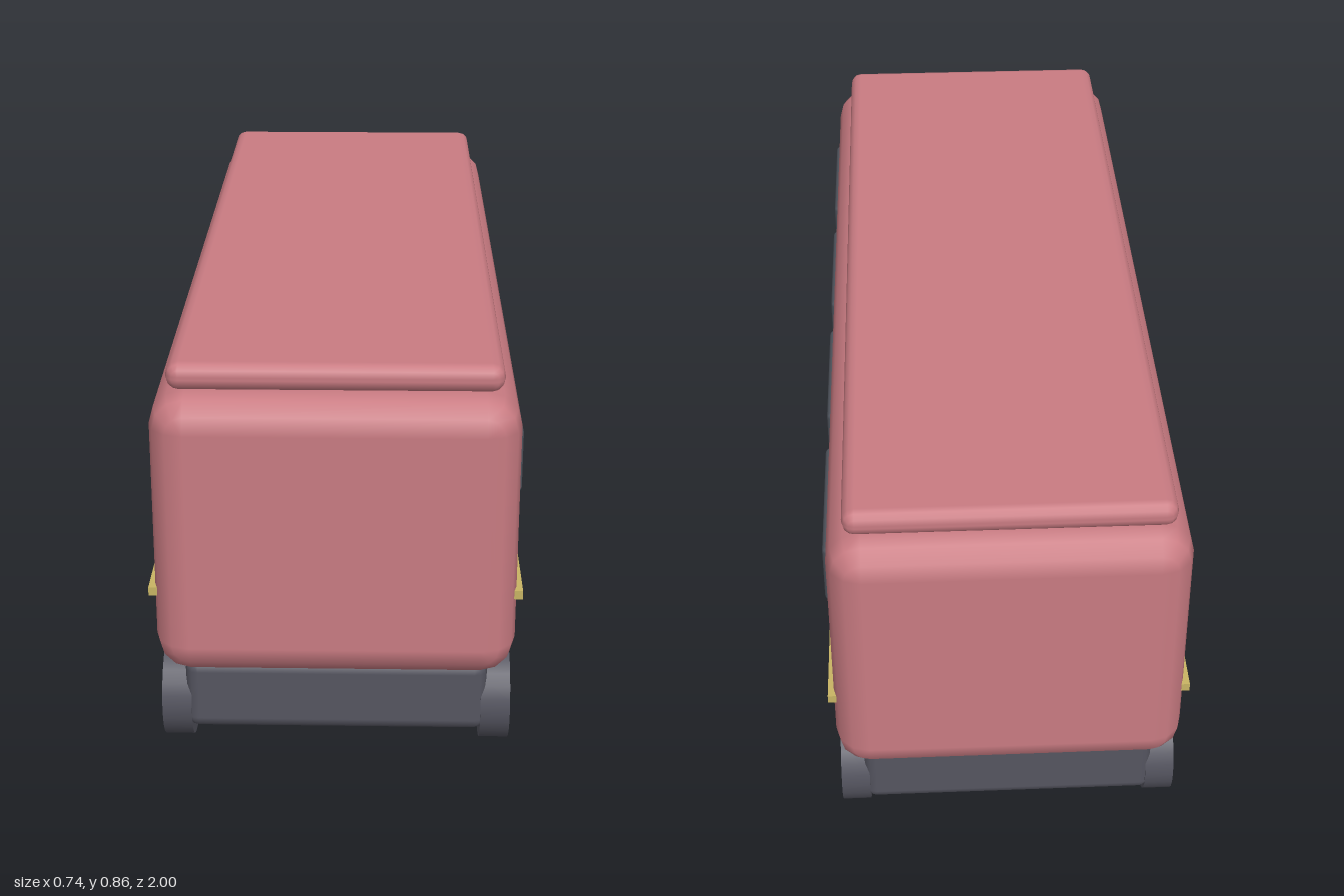
import * as THREE from 'three';

const mat = (name, color) => {
  const m = new THREE.MeshStandardMaterial({ color });
  m.name = name;
  return m;
};

// Box with edges rounded in three steps, built from rounded-rectangle rings along z
function roundedBox(w, h, d, r, steps = 3) {
  const pos = [], nor = [], idx = [];
  const ix = w / 2 - r, iy = h / 2 - r, iz = d / 2 - r;
  const n = 4 * (steps + 1);
  const rings = 2 * (steps + 1);
  for (let j = 0; j < rings; j++) {
    const front = j > steps;
    const lat = -Math.PI / 2 + (front ? j - 1 : j) * (Math.PI / 2 / steps);
    const c = Math.cos(lat), s = Math.sin(lat);
    for (let k = 0; k < 4; k++) {
      const sx = k === 0 || k === 3 ? 1 : -1, sy = k < 2 ? 1 : -1;
      for (let i = 0; i <= steps; i++) {
        const a = (k + i / steps) * Math.PI / 2;
        const nx = c * Math.cos(a), ny = c * Math.sin(a);
        pos.push(sx * ix + r * nx, sy * iy + r * ny, (front ? iz : -iz) + r * s);
        nor.push(nx, ny, s);
      }
    }
  }
  for (let j = 0; j < rings - 1; j++) {
    for (let i = 0; i < n; i++) {
      const a = j * n + i, b = j * n + (i + 1) % n;
      idx.push(a, b, b + n, a, b + n, a + n);
    }
  }
  // flat ends
  const q = steps + 1, e = (rings - 1) * n;
  idx.push(0, 2 * q, q, 0, 3 * q, 2 * q);
  idx.push(e, e + q, e + 2 * q, e, e + 2 * q, e + 3 * q);
  const g = new THREE.BufferGeometry();
  g.setAttribute('position', new THREE.Float32BufferAttribute(pos, 3));
  g.setAttribute('normal', new THREE.Float32BufferAttribute(nor, 3));
  g.setIndex(idx);
  return g;
}

export function createModel() {
  const red = mat('coachRed', 0xc97b82);
  const dark = mat('chassisGrey', 0x555560);
  const glass = mat('windowGrey', 0x50555e);
  const gold = mat('trimGold', 0xc8b464);

  const model = new THREE.Group();
  model.name = 'railCoach';
  const add = (parent, name, geometry, material, x, y, z) => {
    const m = new THREE.Mesh(geometry, material);
    m.name = name;
    m.position.set(x, y, z);
    parent.add(m);
    return m;
  };

  // Body shell and roof
  add(model, 'body', roundedBox(0.72, 0.596, 2, 0.07), red, 0, 0.508, 0);
  add(model, 'roof', roundedBox(0.65, 0.056, 1.9, 0.025), red, 0, 0.834, 0);

  // Windows and trim strip on both sides
  const windowGeo = roundedBox(0.03, 0.14, 0.34, 0.011);
  const trimGeo = new THREE.BoxGeometry(0.018, 0.018, 1.9);
  for (const side of [-1, 1]) {
    for (const z of [-0.675, -0.225, 0.225, 0.675]) {
      add(model, 'window', windowGeo, glass, side * 0.356, 0.623, z);
    }
    add(model, 'trimStrip', trimGeo, gold, side * 0.363, 0.381, 0);
  }

  // Two bogies, each with a frame block and four wheels
  const frameGeo = roundedBox(0.616, 0.158, 0.515, 0.026);
  const wheelGeo = new THREE.CylinderGeometry(0.103, 0.103, 0.06, 24).rotateZ(Math.PI / 2);
  for (const end of [-1, 1]) {
    const bogie = new THREE.Group();
    bogie.name = end > 0 ? 'frontBogie' : 'rearBogie';
    bogie.position.z = end * 0.675;
    model.add(bogie);
    add(bogie, 'bogieFrame', frameGeo, dark, 0, 0.134, 0);
    for (const side of [-1, 1]) {
      for (const z of [-0.155, 0.155]) {
        add(bogie, 'wheel', wheelGeo, dark, side * 0.326, 0.103, z);
      }
    }
  }
  return model;
}
